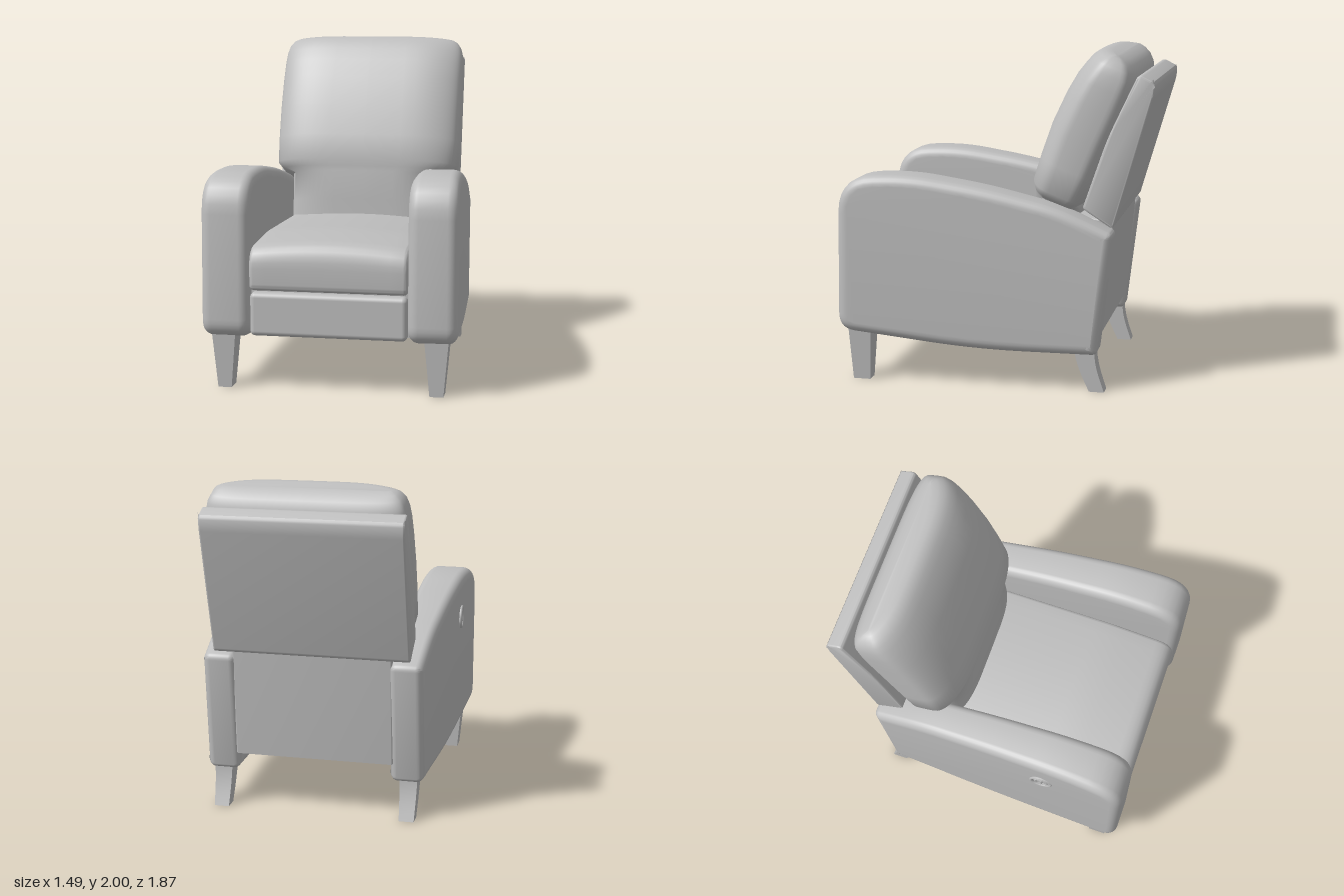
import * as THREE from 'three';
import { toCreasedNormals } from 'three/addons/utils/BufferGeometryUtils.js';
import { RoundedBoxGeometry } from 'three/addons/geometries/RoundedBoxGeometry.js';

const upholstery = new THREE.MeshStandardMaterial({ color: 0xbebebe });
upholstery.name = 'grey upholstery';

function part(name, geometry, parent) {
  const mesh = new THREE.Mesh(geometry, upholstery);
  mesh.name = name;
  parent.add(mesh);
  return mesh;
}

// Moves every vertex by a rule
function reshape(geometry, rule) {
  const pos = geometry.attributes.position;
  const v = new THREE.Vector3();
  for (let i = 0; i < pos.count; i++) {
    rule(v.fromBufferAttribute(pos, i));
    pos.setXYZ(i, v.x, v.y, v.z);
  }
  return geometry;
}

// Side profile of [z, y, corner] points, extruded from x0 to x1 with rounded edges
function sideExtrude(points, x0, x1, bevel, rule = () => {}, steps = 1) {
  const pts = points.map(([z, y, r = 0]) => ({ p: new THREE.Vector2(-z, y), r }));
  const shape = new THREE.Shape();
  pts.forEach(({ p, r }, i) => {
    const toward = (q) => p.clone().add(q.clone().sub(p).setLength(r));
    const a = toward(pts[(i + pts.length - 1) % pts.length].p);
    const b = toward(pts[(i + 1) % pts.length].p);
    if (i === 0) shape.moveTo(a.x, a.y);
    else shape.lineTo(a.x, a.y);
    if (r > 0) shape.quadraticCurveTo(p.x, p.y, b.x, b.y);
  });
  shape.closePath();
  const geometry = new THREE.ExtrudeGeometry(shape, {
    depth: x1 - x0 - 2 * bevel, steps, curveSegments: 7,
    bevelSize: bevel, bevelThickness: bevel, bevelOffset: -bevel, bevelSegments: 6,
  });
  geometry.rotateY(Math.PI / 2).translate(x0 + bevel, 0, 0);
  return toCreasedNormals(reshape(geometry, rule), 0.7);
}

// Soft pillow lofted through rows of [height, back z, front z, half width]
function pillow(rows, bulge) {
  const n = 64, position = [], index = [];
  const power = (t) => Math.sign(t) * Math.abs(t) ** 0.4;
  for (const [y, back, front, w] of rows) {
    for (let i = 0; i < n; i++) {
      const a = (i / n) * Math.PI * 2;
      const c = power(Math.cos(a)), s = power(Math.sin(a));
      const crown = s > 0 ? bulge * s * (1 - c ** 4) : 0;
      position.push(w * c, y, (front + back) / 2 + ((front - back) / 2) * s + crown);
    }
  }
  for (let r = 0; r < rows.length - 1; r++) {
    for (let i = 0; i < n; i++) {
      const p = r * n + i, q = r * n + ((i + 1) % n);
      index.push(p, p + n, q, q, p + n, q + n);
    }
  }
  // End caps
  const top = (rows.length - 1) * n;
  for (let i = 1; i < n - 1; i++) {
    index.push(0, i, i + 1, top, top + i + 1, top + i);
  }
  const geometry = new THREE.BufferGeometry();
  geometry.setAttribute('position', new THREE.Float32BufferAttribute(position, 3));
  geometry.setIndex(index);
  return toCreasedNormals(geometry, 0.9);
}

// Leg as a box whose section follows t, from 0 at the floor to 1 at the top
function leg(height, rule) {
  const geometry = new THREE.BoxGeometry(1, 1, 1, 1, 6, 1);
  reshape(geometry, (v) => {
    const t = v.y + 0.5;
    const { x, z, w, d } = rule(t);
    v.set(x + v.x * w, t * height, z + v.z * d);
  });
  return toCreasedNormals(geometry, 0.6);
}

export function createModel() {
  const chair = new THREE.Group();
  chair.name = 'reclinerArmchair';
  const lerp = THREE.MathUtils.lerp;

  // Arms and legs on both sides
  const armProfile = [
    [0.94, 0.318, 0.1], [0.925, 1.25, 0.22], [0.5, 1.268, 0.15], [0.05, 1.2, 0.15],
    [-0.38, 1.1, 0.12], [-0.705, 0.955, 0.03], [-0.62, 0.23, 0.03], [0.1, 0.23, 0.3],
  ];
  for (const [side, sign] of [['left', 1], ['right', -1]]) {
    const x0 = sign > 0 ? 0.458 : -0.745, x1 = sign > 0 ? 0.745 : -0.458;
    part(side + 'Arm', sideExtrude(armProfile, x0, x1, 0.062, (v) => {
      const k = lerp(0.71, 1, (v.z + 0.7) / 1.6);
      v.x = sign * (0.458 + (Math.abs(v.x) - 0.458) * k);
    }), chair);
    part(side + 'FrontLeg', leg(0.36, (t) => ({
      x: sign * 0.622, z: 0.813, w: lerp(0.08, 0.145, t), d: lerp(0.105, 0.145, t),
    })), chair);
    part(side + 'BackLeg', leg(0.28, (t) => ({
      x: sign * 0.57, z: -0.62 + 0.075 * Math.sin(t * Math.PI / 2),
      w: lerp(0.09, 0.11, t), d: lerp(0.09, 0.122, t),
    })), chair);
  }

  // Body under the seat with the lower back
  part('bodyFrame', sideExtrude([
    [0.86, 0.34], [0.86, 0.6], [-0.2, 0.62], [-0.45, 1.03], [-0.69, 1.0], [-0.63, 0.335],
  ], -0.48, 0.48, 0.01), chair);

  // Footrest panel
  const footrest = part('footrest', new RoundedBoxGeometry(0.915, 0.255, 0.2, 4, 0.03), chair);
  footrest.position.set(0, 0.453, 0.82);

  // Seat cushion with a crowned top
  part('seatCushion', sideExtrude([
    [0.92, 0.59, 0.04], [0.925, 0.84, 0.12], [0.5, 0.87, 0.1], [-0.3, 0.85], [-0.3, 0.59],
  ], -0.46, 0.46, 0.025, (v) => {
    if (v.y > 0.7) v.y += 0.03 * (1 - (v.x / 0.46) ** 2) * Math.min(1, (v.y - 0.7) / 0.12);
  }, 12), chair);

  // Reclined back cushion, its lower part tucked between the arms
  const cushion = part('backCushion', pillow([
    [-0.38, 0.02, 0.16, 0.48], [-0.2, 0, 0.215, 0.48], [-0.03, 0, 0.275, 0.48],
    [0, 0.02, 0.28, 0.55], [0.04, -0.01, 0.3, 0.585], [0.2, -0.015, 0.31, 0.59],
    [0.4, -0.025, 0.315, 0.592], [0.6, -0.035, 0.3, 0.592], [0.72, -0.035, 0.28, 0.59],
    [0.8, -0.025, 0.255, 0.585], [0.85, 0, 0.235, 0.572], [0.885, 0.035, 0.21, 0.55],
    [0.905, 0.075, 0.18, 0.522], [0.915, 0.12, 0.145, 0.49],
  ], 0.055), chair);
  cushion.position.set(0.02, 1.07, -0.5);
  cushion.rotation.x = -0.364;

  // Outer back panel
  part('backPanel', sideExtrude([
    [-0.52, 1.09, 0.02], [-0.7, 0.975, 0.03], [-0.934, 1.785, 0.05], [-0.925, 1.83, 0.01],
    [-0.835, 1.875, 0.03], [-0.66, 1.5, 0.1],
  ], -0.59, 0.59, 0.012), chair);

  // Control button on the outside of the right arm
  const button = new THREE.Group();
  button.name = 'reclineControl';
  part('controlRing', new THREE.TorusGeometry(0.065, 0.01, 8, 32), button);
  part('controlInnerRing', new THREE.TorusGeometry(0.038, 0.008, 8, 24), button);
  part('controlBar', new RoundedBoxGeometry(0.018, 0.06, 0.016, 2, 0.006), button);
  button.position.set(-0.72, 1.0, 0.42);
  button.rotation.y = -Math.PI / 2 + 0.05;
  chair.add(button);

  return chair;
}
